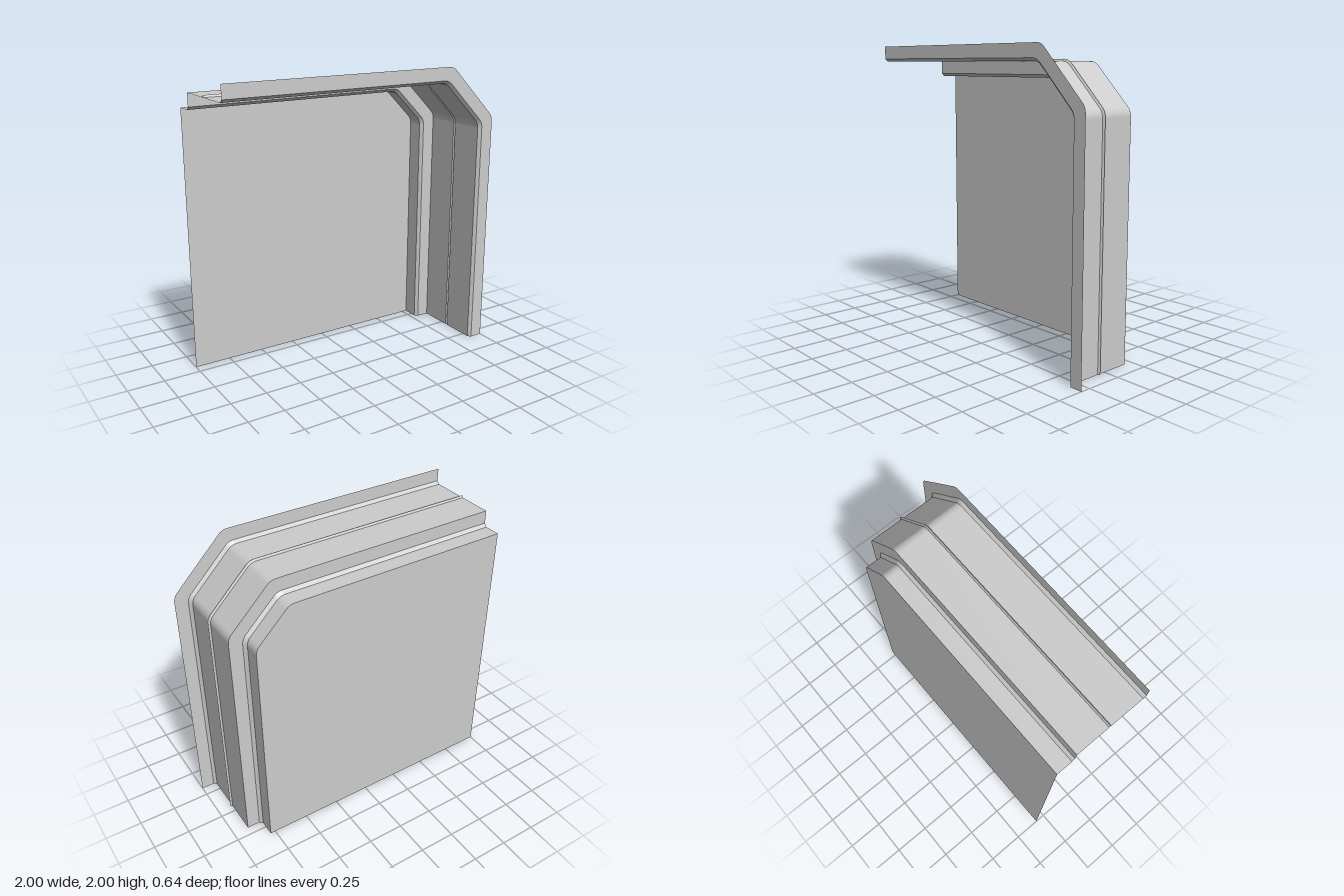
import * as THREE from 'three';

const metal = new THREE.MeshStandardMaterial({ color: 0xcccccc, side: THREE.DoubleSide });
metal.name = 'grey metal';

// Path of the frame at inset d: along the top, around the chamfer, down the side
function framePath(d) {
  const top = 2 - d, side = 1 - d, slope = 0.414 * d, t = 0.036, k = t * Math.SQRT1_2;
  const cx = 0.643 - slope, cy = 1.643 - slope; // sharp chamfer corners
  const bend = (a, b, c) => new THREE.QuadraticBezierCurve(
    new THREE.Vector2(...a), new THREE.Vector2(...b), new THREE.Vector2(...c)).getPoints(5);
  return [
    new THREE.Vector2(-1, top),
    ...bend([cx - t, top], [cx, top], [cx + k, top - k]),
    ...bend([side - k, cy + k], [side, cy], [side, cy - t]),
    new THREE.Vector2(side, 0),
  ];
}

// Ribbon between two profile points [inset, z], following the frame path
function ribbon(name, [d0, z0], [d1, z1]) {
  const a = framePath(d0), b = framePath(d1), pos = [], index = [];
  a.forEach((p, i) => {
    pos.push(p.x, p.y, z0, b[i].x, b[i].y, z1);
    if (i < a.length - 1) {
      const n = i * 2;
      index.push(n, n + 2, n + 1, n + 1, n + 2, n + 3);
    }
  });
  const geo = new THREE.BufferGeometry();
  geo.setAttribute('position', new THREE.Float32BufferAttribute(pos, 3));
  geo.setIndex(index);
  geo.computeVertexNormals();
  const mesh = new THREE.Mesh(geo, metal);
  mesh.name = name;
  return mesh;
}

export function createModel() {
  const model = new THREE.Group();
  model.name = 'framedPanel';

  // Cross-section from the front flange back to the panel
  const profile = [
    ['frontFlange', 0, 0.32],
    ['flangeBevel', 0.088, 0.32],
    ['frontWall', 0.107, 0.3],
    ['ridgeFront', 0.107, 0.062],
    ['ridgeBack', 0.093, 0.054],
    ['middleWall', 0.107, 0.046],
    ['stepFlange', 0.107, -0.19],
    ['stepBevel', 0.195, -0.19],
    ['rearWall', 0.215, -0.21],
    ['', 0.215, -0.32],
  ];
  for (let i = 0; i < profile.length - 1; i++) {
    const [name, ...from] = profile[i];
    model.add(ribbon(name, from, profile[i + 1].slice(1)));
  }

  // Flat back panel filling the innermost outline
  const outline = new THREE.Shape([...framePath(0.215), new THREE.Vector2(-1, 0)]);
  const panel = new THREE.Mesh(new THREE.ShapeGeometry(outline), metal);
  panel.position.z = -0.32;
  panel.name = 'backPanel';
  model.add(panel);

  return model;
}
